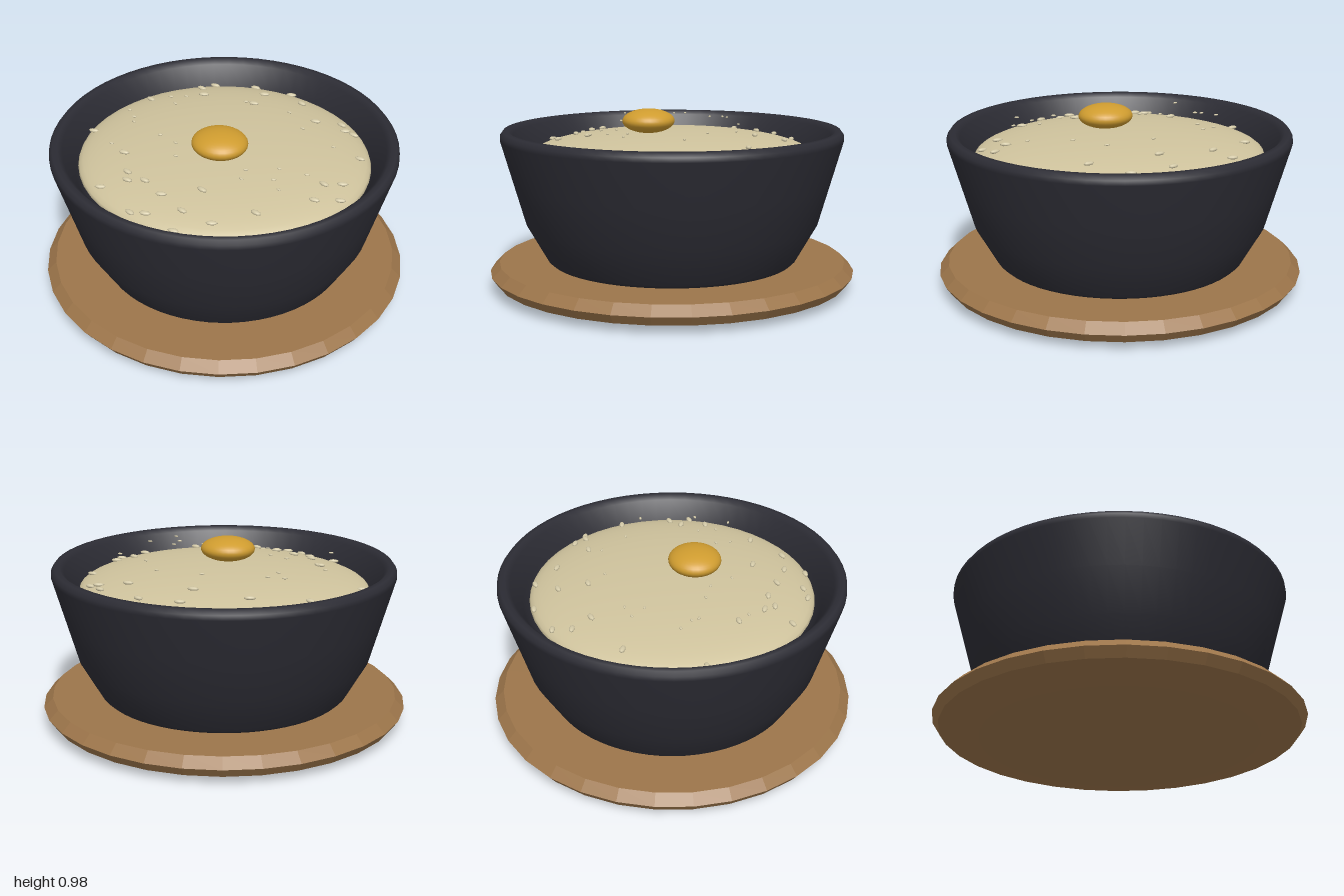
import * as THREE from 'three';

const mat = (name, color) => {
  const m = new THREE.MeshStandardMaterial({ color });
  m.name = name;
  return m;
};

const lathe = (points, sides) =>
  new THREE.LatheGeometry(points.map(([r, y]) => new THREE.Vector2(r, y)), sides);

export function createModel() {
  const wood = mat('wood', 0x9c754a);
  const glaze = mat('dark glaze', 0x2c2c34);
  const broth = mat('creamy broth', 0xcfc39d);
  const gold = mat('golden yolk', 0xcf9c2f);
  const grain = mat('sesame', 0xd2c8a6);

  const model = new THREE.Group();
  const add = (name, geometry, material, parent = model) => {
    const mesh = new THREE.Mesh(geometry, material);
    mesh.name = name;
    parent.add(mesh);
    return mesh;
  };

  // Faceted wooden tray
  const trayGeometry = lathe(
    [[0, 0], [0.75, 0], [0.965, 0.045], [1, 0.095], [0.95, 0.145], [0, 0.145]], 32
  ).toNonIndexed();
  trayGeometry.computeVertexNormals();
  add('tray', trayGeometry, wood);

  // Bowl: foot, flared wall, rounded rim, then down the inside
  add('bowl', lathe([
    [0, 0.147], [0.67, 0.147], [0.69, 0.165], [0.80, 0.36], [0.865, 0.59], [0.93, 0.82],
    [0.928, 0.845], [0.912, 0.867], [0.885, 0.868], [0.86, 0.845], [0.80, 0.73],
    [0.72, 0.5], [0.5, 0.3], [0, 0.28],
  ], 64), glaze);

  // Gently domed soup surface
  const soupY = 0.73, soupHeight = 0.12, soupX = 0.79, soupZ = 0.765;
  const soup = add('soup', new THREE.SphereGeometry(1, 48, 12, 0, Math.PI * 2, 0, Math.PI / 2), broth);
  soup.scale.set(soupX, soupHeight, soupZ);
  soup.position.y = soupY;

  // Egg yolk resting on top
  const yolk = add('yolk', new THREE.SphereGeometry(1, 32, 20), gold);
  yolk.scale.set(0.15, 0.065, 0.142);
  yolk.position.set(0.03, 0.91, 0.125);

  // Sesame seeds: large ones lie on the soup, small ones sit just above it
  const large = [
    [-0.13, -0.74], [0.1, -0.73], [0.21, -0.61], [-0.02, -0.61], [-0.35, -0.65], [-0.39, -0.55],
    [-0.33, -0.45], [-0.6, -0.31], [-0.02, -0.45], [0.36, -0.43], [0.49, -0.5], [0.53, -0.44],
    [0.58, -0.44], [0.69, -0.22], [0.69, 0.06], [0.61, 0.12], [0.72, 0.18], [0.61, 0.26],
    [0.39, 0.49], [0.22, 0.64], [0.05, 0.62], [0.06, 0.74], [-0.12, 0.69], [-0.2, 0.7],
    [-0.1, 0.55], [-0.32, 0.5], [-0.23, 0.48], [-0.44, 0.57], [-0.35, 0.44], [-0.75, 0.09],
    [-0.45, 0.29], [0.08, 0.45],
  ];
  const small = [
    [-0.58, -0.02], [-0.52, 0.04], [-0.5, 0.08], [-0.44, -0.25], [-0.36, -0.28], [-0.38, -0.18],
    [-0.31, 0.14], [-0.2, 0.18], [-0.5, 0.33], [-0.14, 0.3], [0.25, 0.35], [0.24, 0.27],
    [0.36, -0.22], [0.39, 0.19], [0.4, 0.29], [0.46, 0.37], [0.54, 0.19], [0.57, -0.12],
    [0.23, -0.36], [-0.03, -0.36],
  ];
  const seeds = new THREE.Group();
  seeds.name = 'sesameSeeds';
  model.add(seeds);
  const seedGeometry = new THREE.SphereGeometry(1, 8, 6);
  const addSeed = (x, y, z, length, i) => {
    const seed = add('seed', seedGeometry, grain, seeds);
    seed.scale.set(length, length * 0.35, length * 0.5);
    seed.position.set(x, y, z);
    seed.rotation.y = Math.sin(i * 2.4) * 0.35;
  };
  large.forEach(([x, z], i) => {
    const r2 = Math.min(1, (x / soupX) ** 2 + (z / soupZ) ** 2);
    addSeed(x, soupY + soupHeight * Math.sqrt(1 - r2) + 0.006, z, 0.03, i);
  });
  small.forEach(([x, z], i) => addSeed(x, 0.886 + 0.004 * Math.sin(i * 1.7), z, 0.014, i));

  return model;
}
